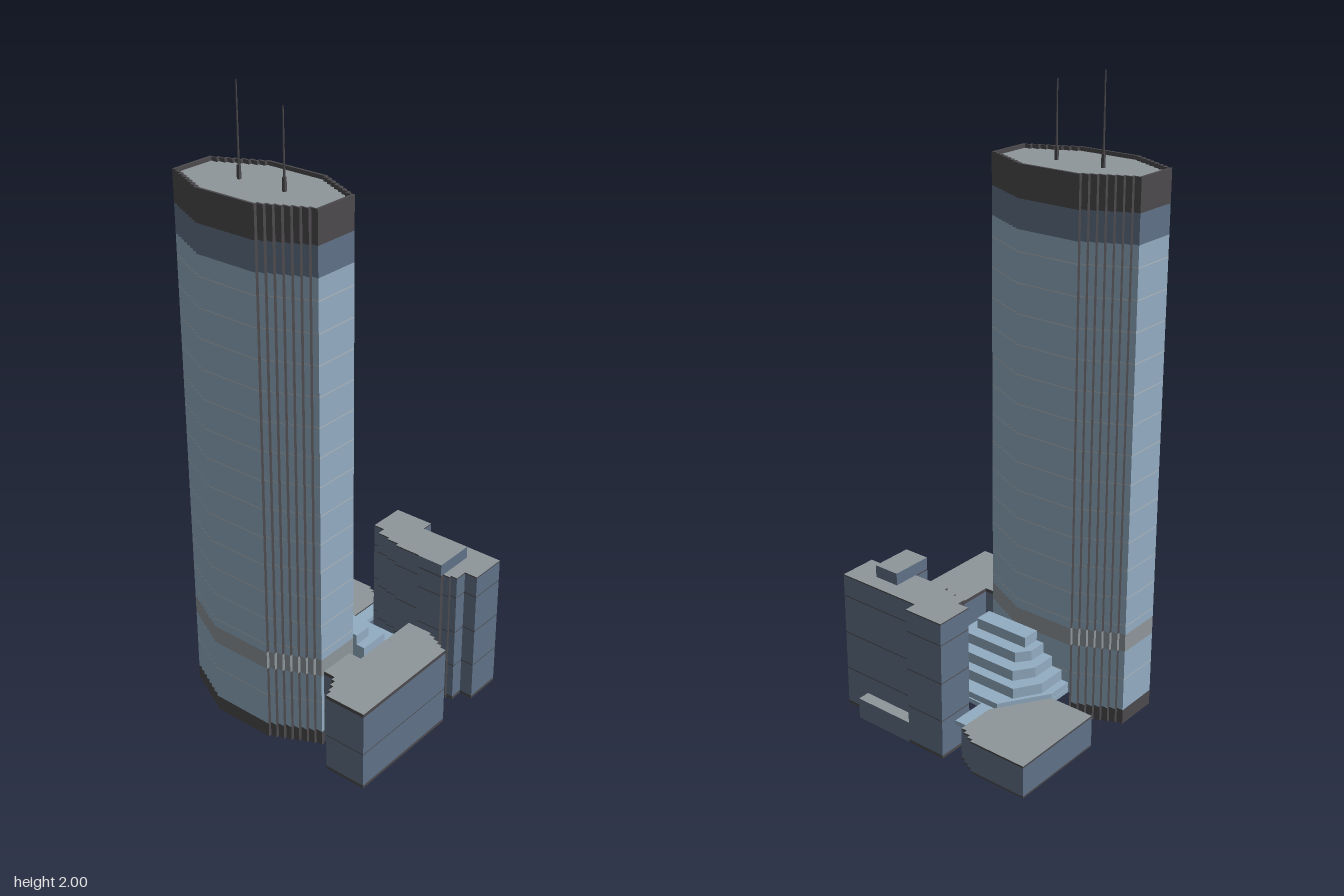
import * as THREE from 'three';

const mat = (name, color) => {
  const m = new THREE.MeshStandardMaterial({ color, side: THREE.DoubleSide });
  m.name = name;
  return m;
};
const M = {
  glass: mat('light blue glass', 0x93adc3),
  slate: mat('slate blue glass', 0x5f7186),
  dark: mat('charcoal metal', 0x4c4a4d),
  grey: mat('roof grey', 0x8e969b),
  pale: mat('pale stone', 0xb4babd),
};

// Vertical wall following a closed footprint; short x-facing returns may use a second material
function wall(name, pts, y0, y1, main, returns = main, skip = () => false) {
  const pos = [], geo = new THREE.BufferGeometry();
  pts.forEach((a, i) => {
    const b = pts[(i + 1) % pts.length];
    if (skip(a, b)) return;
    const step = Math.abs(a[0] - b[0]) < 1e-4 && Math.abs(a[1] - b[1]) < 0.035;
    geo.addGroup(pos.length / 3, 6, step ? 1 : 0);
    const q = [[a, y0], [b, y0], [b, y1], [a, y0], [b, y1], [a, y1]];
    q.forEach(([p, y]) => pos.push(p[0], y, p[1]));
  });
  geo.setAttribute('position', new THREE.Float32BufferAttribute(pos, 3));
  geo.computeVertexNormals();
  const mesh = new THREE.Mesh(geo, [main, returns]);
  mesh.name = name;
  return mesh;
}

// Flat horizontal face over a footprint, with an optional hole
function cap(name, pts, y, material, up = true, hole) {
  const s = up ? -1 : 1;
  const v = (list) => list.map(([x, z]) => new THREE.Vector2(x, s * z));
  const shape = new THREE.Shape(v(pts));
  if (hole) shape.holes.push(new THREE.Path(v(hole)));
  const geo = new THREE.ShapeGeometry(shape).rotateX(s * Math.PI / 2);
  const mesh = new THREE.Mesh(geo.translate(0, y, 0), material);
  mesh.name = name;
  return mesh;
}

// Order a footprint so that its walls face outwards
const outward = (pts) =>
  THREE.ShapeUtils.isClockWise(pts.map(([x, z]) => new THREE.Vector2(x, z))) ? pts : pts.slice().reverse();

// Closed block: bands are [top, material, return material] stacked from y0
function block(name, footprint, y0, bands, roof, floor) {
  const g = new THREE.Group();
  g.name = name;
  const pts = outward(footprint);
  let y = y0;
  for (const [top, main, returns] of bands) {
    g.add(wall(name + 'Wall', pts, y, top, main, returns));
    y = top;
  }
  g.add(cap(name + 'Roof', pts, y, roof), cap(name + 'Floor', pts, y0, floor, false));
  return g;
}

// Facade bands with thin dark floor lines
function facade(height, spacing, trim) {
  const bands = [[0.01, M.dark]];
  for (let y = spacing; y < height - 0.05; y += spacing) {
    bands.push([y, M.slate, M.dark], [y + 0.003, M.dark]);
  }
  bands.push([height - trim, M.slate, M.dark], [height, M.dark]);
  return bands;
}

const rect = (x0, x1, z0, z1) => [[x0, z0], [x1, z0], [x1, z1], [x0, z1]];

// Tower footprint: an octagon whose diagonals are seven small steps
const CX = -0.1115, CZ = 0.21, HX = 0.263, HZ = 0.15, FX = 0.11, FZ = 0.075, STEPS = 7;
function towerFootprint(inset = 0) {
  const q = [];
  for (let i = 0; i < STEPS; i++) {
    const x = FX + i * (HX - FX) / STEPS, dz = (HZ - FZ) / STEPS;
    q.push([x, HZ - i * dz], [x, HZ - (i + 1) * dz]);
  }
  q.push([HX, FZ]);
  const r = q.slice().reverse();
  const all = [...q, ...r.map(([x, z]) => [x, -z]), ...q.map(([x, z]) => [-x, -z]), ...r.map(([x, z]) => [-x, z])];
  return all.map(([x, z]) => [CX + x * (1 - inset / HX), CZ + z * (1 - inset / HZ)]);
}

function tower() {
  const g = new THREE.Group();
  g.name = 'tower';
  const pts = towerFootprint(), inner = towerFootprint(0.008);
  // The back is open to the court at ground level
  const openBack = (a, b) => a[1] < 0.08 && b[1] < 0.08 && Math.abs(a[0] - b[0]) > 0.1;
  g.add(wall('towerBase', pts, 0, 0.05, M.dark, M.dark, openBack));
  g.add(wall('lobbyGlass', pts, 0.05, 0.09, M.glass, M.dark, openBack));
  g.add(wall('lobbyInnerWall', towerFootprint(0.003), 0.05, 0.26, M.pale, M.pale, openBack));
  g.add(cap('lobbyCeiling', pts, 0.26, M.slate, false));

  // Glass shaft with pale floor lines
  const shaft = (y0, y1) => g.add(wall('towerGlass', pts, y0, y1, M.glass, M.dark));
  let y = 0.09;
  for (let i = 0; i < 15; i++) {
    const line = 0.16 + i * 0.0945;
    if (line > 0.25 && line < 0.33) continue;
    if (y < 0.26 && line > 0.32) {
      shaft(y, 0.26);
      g.add(wall('greyBand', pts, 0.26, 0.32, M.grey));
      y = 0.32;
    }
    shaft(y, line);
    g.add(wall('floorLine', pts, line, line + 0.003, M.pale, M.dark));
    y = line + 0.003;
  }
  shaft(y, 1.55);
  g.add(wall('upperBand', pts, 1.55, 1.64, M.slate, M.dark));

  // Crown with parapet and recessed roof
  g.add(wall('crown', pts, 1.64, 1.74, M.dark));
  g.add(wall('parapetInside', inner.slice().reverse(), 1.728, 1.74, M.dark));
  g.add(cap('parapetRim', pts, 1.74, M.dark, true, inner));
  g.add(cap('towerRoof', inner, 1.728, M.grey));

  // Masts
  for (const [x, top] of [[-0.195, 2], [-0.03, 1.96]]) {
    const foot = new THREE.Mesh(new THREE.BoxGeometry(0.009, 0.04, 0.009), M.dark);
    foot.position.set(x, 1.748, 0.208);
    foot.name = 'mastFoot';
    const mast = new THREE.Mesh(new THREE.CylinderGeometry(0.002, 0.0035, top - 1.73, 6), M.dark);
    mast.position.set(x, (top + 1.73) / 2, 0.208);
    mast.name = 'mast';
    g.add(foot, mast);
  }
  return g;
}

// Stepped glass roof of the court between the buildings
function court() {
  const g = new THREE.Group();
  g.name = 'court';
  const tiers = [
    [[-0.106, -0.3], [-0.06, -0.3], [-0.06, -0.18], [0.198, -0.18], [0.198, -0.13], [0.265, -0.13],
      [0.265, -0.087], [0.198, -0.087], [0.198, 0.155], [0.14, 0.155], [0, 0.06], [-0.217, 0.06], [-0.217, -0.025], [-0.106, -0.195]],
    [[-0.12, -0.175], [0.198, -0.175], [0.198, 0.06], [-0.215, 0.06], [-0.215, -0.025]],
    [[-0.14, -0.122], [0.178, -0.122], [0.178, 0.06], [-0.19, 0.06], [-0.19, -0.04]],
    [[-0.11, -0.087], [0.157, -0.087], [0.157, 0.06], [-0.152, 0.06], [-0.152, -0.025]],
    [[-0.085, -0.043], [0.135, -0.043], [0.135, 0.06], [-0.117, 0.06], [-0.117, 0]],
    rect(-0.09, 0.105, 0, 0.06),
  ];
  const tops = [0.105, 0.125, 0.16, 0.195, 0.23, 0.265];
  tiers.forEach((pts, i) => g.add(block('courtTier', pts, i ? tops[i - 1] : 0.09, [[tops[i], M.glass]], M.glass, M.slate)));
  return g;
}

export function createModel() {
  const model = new THREE.Group();
  model.name = 'towerComplex';
  model.add(tower(), court());

  // Tall block at the back with stepped corners
  model.add(block('tallBlock', [[-0.06, -0.36], [0.077, -0.36], [0.077, -0.32], [0.375, -0.32], [0.375, -0.195],
    [0.33, -0.195], [0.33, -0.152], [0.308, -0.152], [0.308, -0.143], [0.285, -0.143], [0.285, -0.13], [0.198, -0.13],
    [0.198, -0.183], [0.068, -0.183], [0.068, -0.195], [0.024, -0.195], [0.024, -0.205], [-0.02, -0.205],
    [-0.02, -0.235], [-0.06, -0.235]], 0, facade(0.465, 0.13, 0.004), M.grey, M.dark));
  model.add(block('penthouse', rect(0.198, 0.285, -0.268, -0.13), 0.465, [[0.505, M.slate]], M.grey, M.dark));
  model.add(block('rearCanopy', rect(0.077, 0.289, -0.36, -0.32), 0, [[0.07, M.slate]], M.grey, M.dark));

  // Mid-height block beside the tower
  model.add(block('sideBlock', [[0.198, -0.087], [0.285, -0.087], [0.285, -0.077], [0.308, -0.077], [0.308, -0.066],
    [0.33, -0.066], [0.33, -0.055], [0.35, -0.055], [0.35, -0.045], [0.372, -0.045], [0.372, 0.358], [0.23, 0.358],
    [0.23, 0.335], [0.22, 0.335], [0.22, 0.312], [0.208, 0.312], [0.208, 0.29], [0.195, 0.29], [0.195, 0.275],
    [0.153, 0.275], [0.153, 0.155], [0.198, 0.155]], 0, facade(0.275, 0.125, 0.012), M.grey, M.dark));

  // Low block at the back right
  model.add(block('lowBlock', [[-0.37, -0.36], [-0.17, -0.36], [-0.17, -0.35], [-0.15, -0.35], [-0.15, -0.338],
    [-0.127, -0.338], [-0.127, -0.325], [-0.106, -0.325], [-0.106, -0.195], [-0.217, -0.025], [-0.37, -0.025]],
    0, [[0.006, M.dark], [0.104, M.slate, M.dark], [0.11, M.dark]], M.grey, M.dark));
  return model;
}
